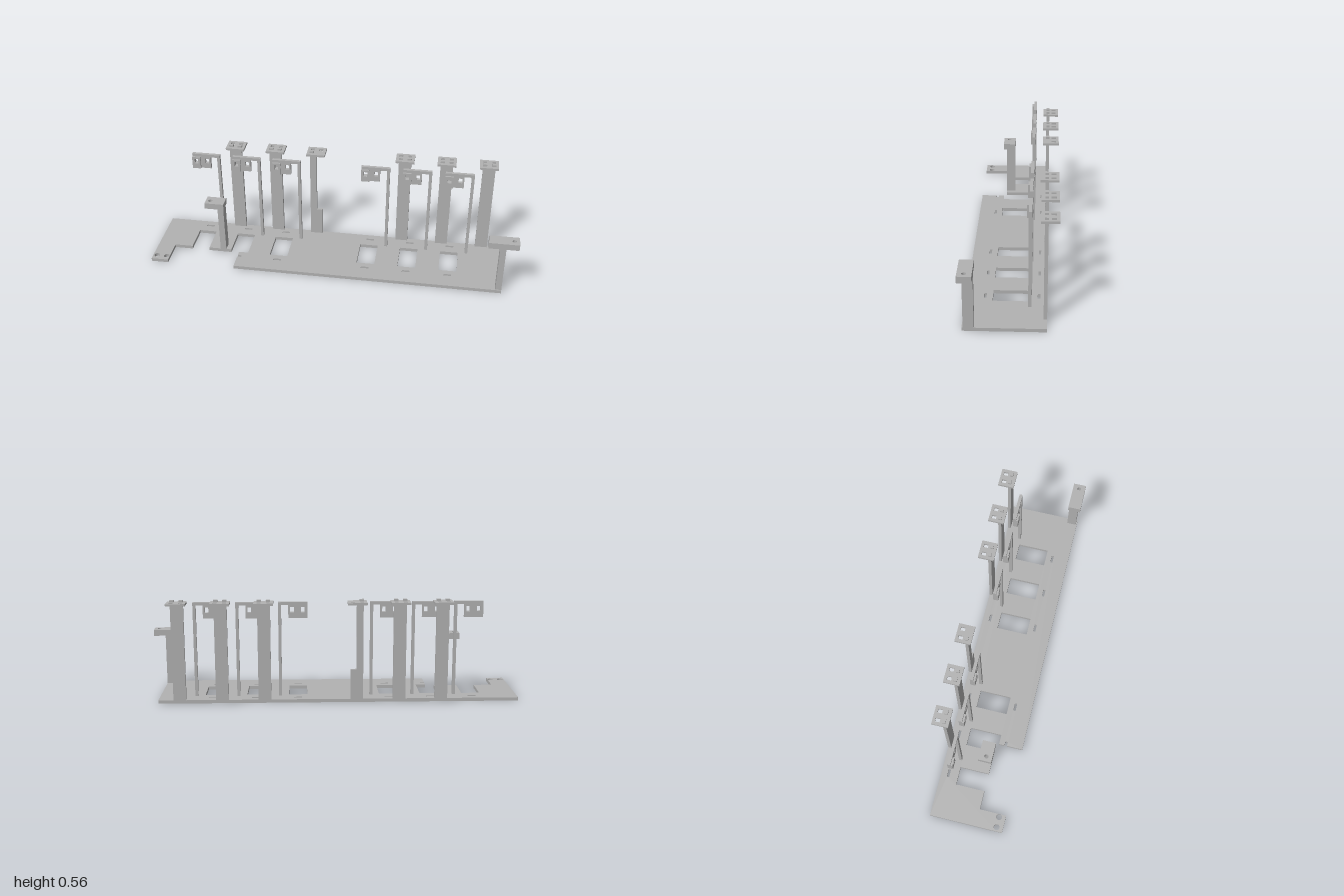
import * as THREE from 'three';

const steel = new THREE.MeshStandardMaterial({ color: 0xb2b2b2 });
steel.name = 'plain steel';

const rect = (Path, x0, y0, x1, y1) => {
  const p = new Path();
  p.moveTo(x0, y0);
  p.lineTo(x1, y0);
  p.lineTo(x1, y1);
  p.lineTo(x0, y1);
  p.closePath();
  return p;
};
const hole = (x, y, w, h) => rect(THREE.Path, x - w / 2, y - h / 2, x + w / 2, y + h / 2);
const round = (x, y, r) => new THREE.Path().absarc(x, y, r, 0, Math.PI * 2);

function box(parent, name, x0, x1, y0, y1, z0, z1) {
  const m = new THREE.Mesh(new THREE.BoxGeometry(x1 - x0, y1 - y0, z1 - z0), steel);
  m.position.set((x0 + x1) / 2, (y0 + y1) / 2, (z0 + z1) / 2);
  m.name = name;
  parent.add(m);
}

// Upright sheet: outline in x, y, thickness from z0 to z1
function sheet(parent, name, shape, z0, z1) {
  const g = new THREE.ExtrudeGeometry(shape, { depth: z1 - z0, bevelEnabled: false, curveSegments: 10 });
  const m = new THREE.Mesh(g.translate(0, 0, z0), steel);
  m.name = name;
  parent.add(m);
}

// Lying sheet: outline in x, -z, thickness from y0 to y1
function slab(parent, name, shape, y0, y1) {
  const g = new THREE.ExtrudeGeometry(shape, { depth: y1 - y0, bevelEnabled: false, curveSegments: 10 });
  const m = new THREE.Mesh(g.rotateX(-Math.PI / 2).translate(0, y0, 0), steel);
  m.name = name;
  parent.add(m);
}

const BASE = 0.018;
const windows = [-0.805, -0.578, -0.353, 0.139, 0.366, 0.593];

function basePlate(parent) {
  // Outline as x, z, with the open cut-outs at the left end
  const outline = [
    [-1, -0.18], [0.935, -0.18], [0.935, 0.222], [-0.53, 0.222],
    [-0.53, 0.135], [-0.507, 0.135], [-0.507, 0.121], [-0.53, 0.121],
    [-0.53, 0.09], [-0.477, 0.09], [-0.477, -0.085], [-0.578, -0.085],
    [-0.578, 0.075], [-0.706, 0.075], [-0.706, -0.085], [-0.805, -0.085],
    [-0.805, 0.075], [-0.906, 0.075], [-0.906, 0.222], [-1, 0.222],
  ];
  const shape = new THREE.Shape(outline.map(([x, z]) => new THREE.Vector2(x, -z)));
  windows.forEach((x, i) => {
    shape.holes.push(hole(x + 0.051, 0.139, 0.043, 0.013));
    if (i < 2) return;
    shape.holes.push(rect(THREE.Path, x, -0.09, x + 0.1, 0.085));
    shape.holes.push(hole(x + 0.051, -0.128, 0.043, 0.013));
  });
  for (const x of [-0.978, -0.922]) shape.holes.push(round(x, -0.187, 0.016));
  slab(parent, 'basePlate', shape, 0, BASE);
}

// Thin post with a top arm carrying a slotted pad
function frontClip(x) {
  const g = new THREE.Group();
  g.name = 'frontClip';
  const s = new THREE.Shape([
    [0.137, BASE], [0.153, BASE], [0.153, 0.533], [-0.003, 0.533],
    [-0.003, 0.447], [0.099, 0.447], [0.099, 0.517], [0.137, 0.517],
  ].map(([a, b]) => new THREE.Vector2(a, b)));
  s.holes.push(hole(0.021, 0.492, 0.02, 0.028), hole(0.079, 0.492, 0.02, 0.028));
  sheet(g, 'clipArm', s, -0.104, -0.087);
  const pad = rect(THREE.Shape, -0.003, 0.447, 0.043, 0.517);
  pad.holes.push(hole(0.021, 0.492, 0.02, 0.028));
  sheet(g, 'clipPad', pad, -0.087, -0.077);
  g.position.x = x;
  return g;
}

// Flat post with a drilled top plate and two tabs poking through
function rearPost(x, stepped) {
  const g = new THREE.Group();
  g.name = 'rearPost';
  if (stepped) {
    box(g, 'postUpper', -0.034, 0.002, 0.18, 0.537, -0.18, -0.163);
    box(g, 'postFoot', -0.034, 0.034, BASE, 0.18, -0.18, -0.163);
  } else box(g, 'post', -0.034, 0.034, BASE, 0.537, -0.18, -0.163);
  const top = rect(THREE.Shape, -0.051, 0.145, 0.051, 0.232);
  for (const s of [-1, 1]) {
    top.holes.push(hole(s * 0.024, 0.205, 0.02, 0.024));
    if (!stepped || s < 0) box(g, 'tab', s * 0.024 - 0.011, s * 0.024 + 0.011, 0.549, 0.56, -0.18, -0.163);
  }
  slab(g, 'topPlate', top, 0.537, 0.549);
  g.position.x = x;
  return g;
}

// Upright with a thick drilled head
function mount(x0, x1, z0, z1, px0, px1, hx, hz) {
  const g = new THREE.Group();
  g.name = 'mountBracket';
  box(g, 'bracketPost', px0, px1, BASE, 0.296, z0, z0 + 0.052);
  const head = rect(THREE.Shape, x0, -z1, x1, -z0);
  head.holes.push(round(hx, -hz, 0.011));
  slab(g, 'bracketHead', head, 0.296, 0.33);
  return g;
}

export function createModel() {
  const model = new THREE.Group();
  model.name = 'bracketFrame';
  basePlate(model);
  for (const x of windows) model.add(frontClip(x));
  [-0.58, -0.354, -0.126, 0.366, 0.593, 0.82].forEach((x, i) => model.add(rearPost(x, i === 2)));
  model.add(mount(0.842, 1, 0.164, 0.234, 0.903, 0.935, 0.972, 0.2));
  model.add(mount(-0.706, -0.6, 0.023, 0.093, -0.64, -0.607, -0.68, 0.062));
  return model;
}
